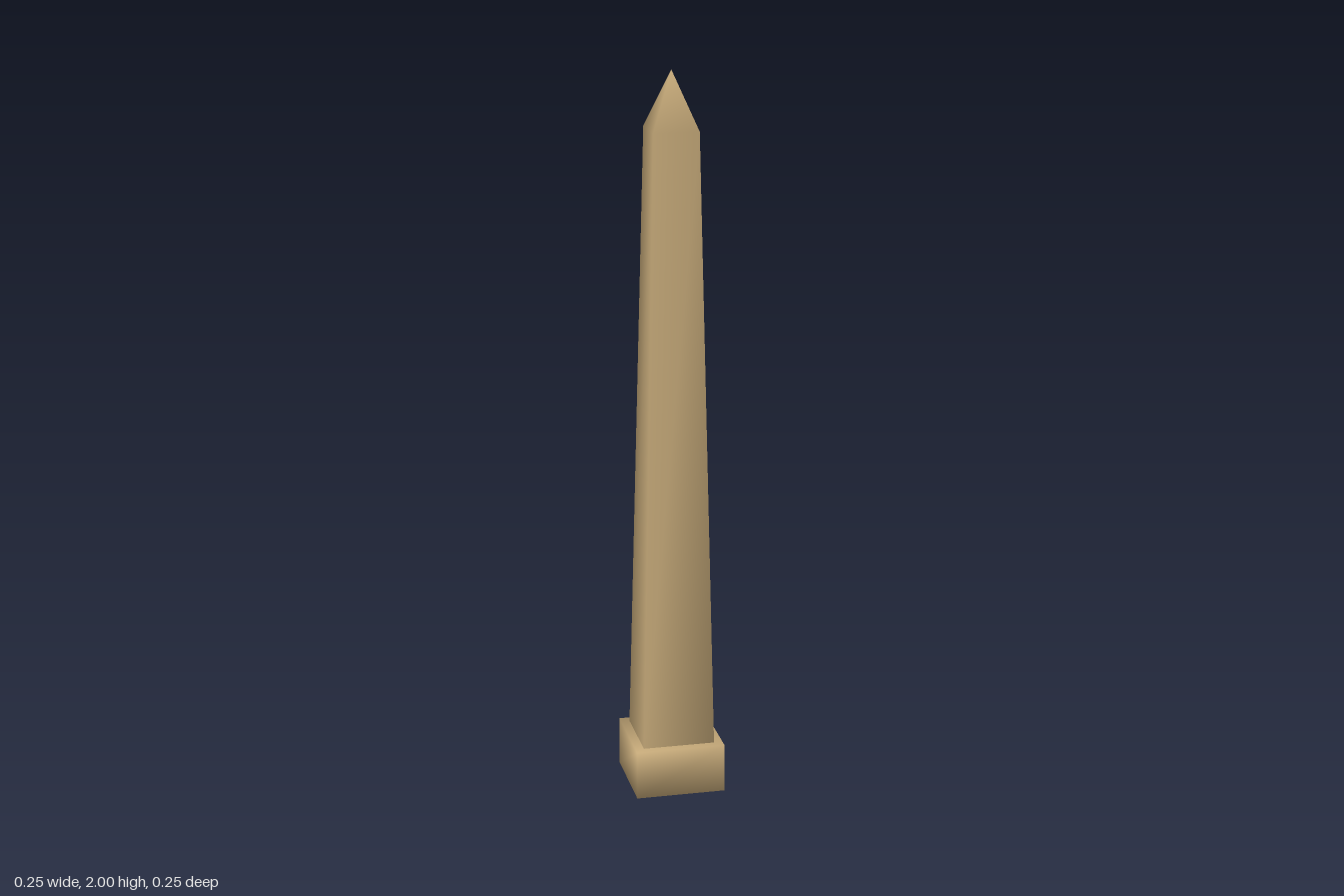
import * as THREE from 'three';

// Closed square-section solid with shared vertices, so its normals are smooth.
// rings: [halfWidth, y] from bottom to top; an optional apex height closes it in a point.
function squareSolid(rings, apex) {
  const pos = [], idx = [];
  const corners = [[-1, 1], [1, 1], [1, -1], [-1, -1]];
  for (const [h, y] of rings) for (const [x, z] of corners) pos.push(x * h, y, z * h);
  idx.push(0, 2, 1, 0, 3, 2); // underside
  for (let r = 0; r < rings.length - 1; r++) {
    for (let i = 0; i < 4; i++) {
      const a = r * 4 + i, b = r * 4 + (i + 1) % 4;
      idx.push(a, b, b + 4, a, b + 4, a + 4);
    }
  }
  const top = (rings.length - 1) * 4;
  if (apex !== undefined) {
    pos.push(0, apex, 0);
    for (let i = 0; i < 4; i++) idx.push(top + i, top + (i + 1) % 4, top + 4);
  } else {
    idx.push(top, top + 1, top + 2, top, top + 2, top + 3);
  }
  const geo = new THREE.BufferGeometry();
  geo.setAttribute('position', new THREE.Float32BufferAttribute(pos, 3));
  geo.setIndex(idx);
  geo.computeVertexNormals();
  return geo;
}

export function createModel() {
  const group = new THREE.Group();
  group.name = 'obelisk';
  const stone = new THREE.MeshStandardMaterial({ color: 0xc4a878 });
  stone.name = 'sandstone';

  const add = (name, geo) => {
    const mesh = new THREE.Mesh(geo, stone);
    mesh.name = name;
    group.add(mesh);
  };

  // square plinth
  add('plinth', squareSolid([[0.124, 0], [0.124, 0.137]]));
  // tapering shaft with its pyramid tip, set slightly into the plinth
  add('shaft', squareSolid([[0.1, 0.125], [0.062, 1.845]], 2));

  return group;
}
